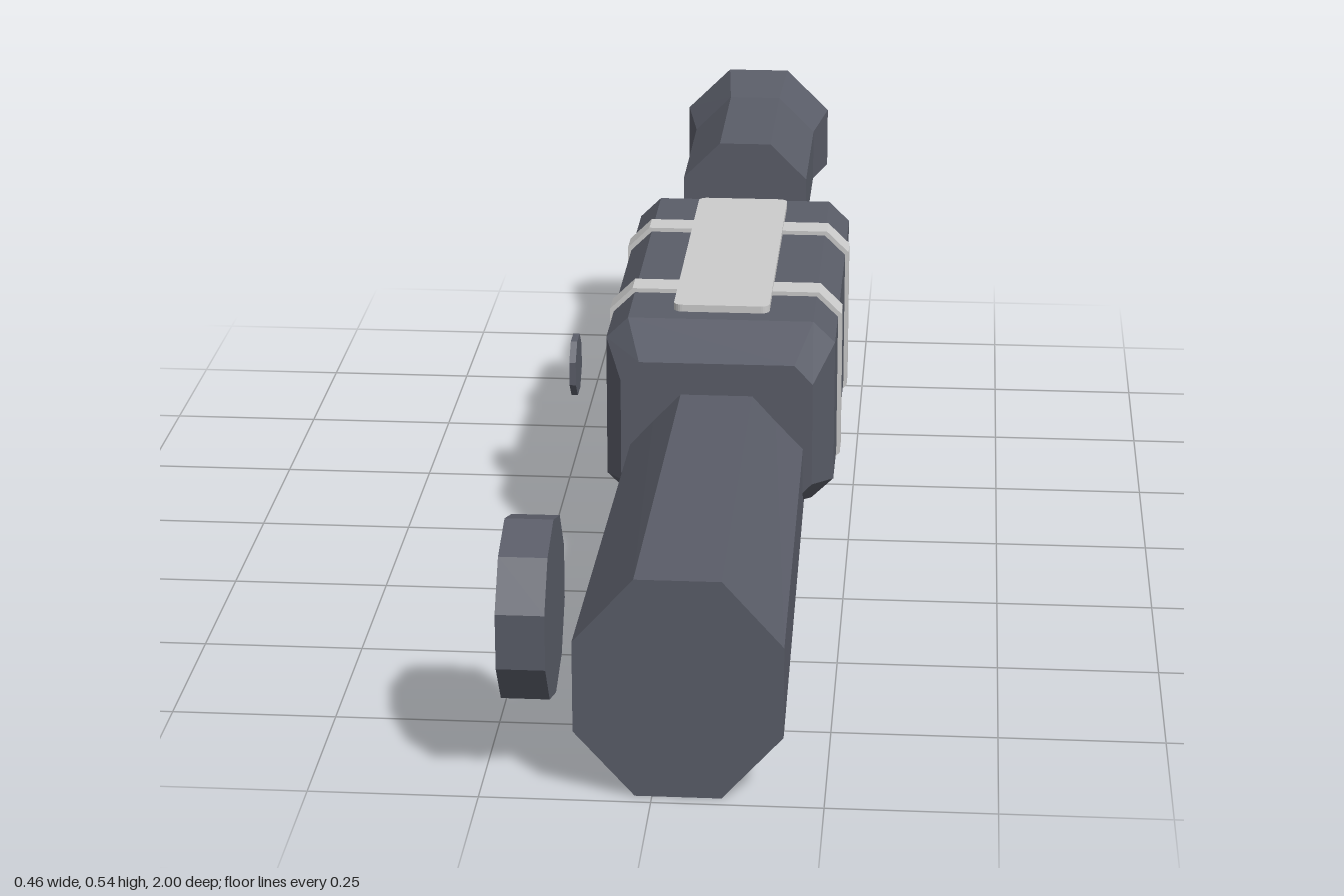
import * as THREE from 'three';

const CX = 0.038; // shared long axis of the body

// Octagonal cross-section, counter-clockwise seen from the front
function octagon(hx, y0, y1, chamferX, chamferY) {
  const x0 = CX - hx, x1 = CX + hx;
  return [
    [x1, y0 + chamferY], [x1, y1 - chamferY], [x1 - chamferX, y1], [x0 + chamferX, y1],
    [x0, y1 - chamferY], [x0, y0 + chamferY], [x0 + chamferX, y0], [x1 - chamferX, y0],
  ];
}

// Regular octagon stretched to the given box
function tube(hx, y0, y1) {
  return octagon(hx, y0, y1, hx * 0.586, (y1 - y0) * 0.293);
}

// Closed solid through sections [z, ring], ordered from front to back
function loft(name, material, sections) {
  const rings = sections.map(([z, ring]) => ring.map(([x, y]) => [x, y, z]));
  const pos = [];
  const tri = (a, b, c) => pos.push(...a, ...b, ...c);
  const n = rings[0].length;
  for (let i = 0; i < rings.length - 1; i++) {
    for (let j = 0; j < n; j++) {
      const k = (j + 1) % n;
      const a = rings[i][j], b = rings[i][k], c = rings[i + 1][k], d = rings[i + 1][j];
      tri(a, d, c);
      tri(a, c, b);
    }
  }
  const front = rings[0], back = rings[rings.length - 1];
  for (let j = 1; j < n - 1; j++) {
    tri(front[0], front[j], front[j + 1]);
    tri(back[0], back[j + 1], back[j]);
  }
  const geometry = new THREE.BufferGeometry();
  geometry.setAttribute('position', new THREE.Float32BufferAttribute(pos, 3));
  geometry.computeVertexNormals();
  const mesh = new THREE.Mesh(geometry, material);
  mesh.name = name;
  return mesh;
}

// Faceted disc with its axis along x
function sideDisc(name, material, radius, sides, x0, x1, y, z) {
  const geometry = new THREE.CylinderGeometry(
    radius, radius, x1 - x0, sides, 1, false, Math.PI / sides).rotateZ(Math.PI / 2).toNonIndexed();
  geometry.computeVertexNormals();
  const mesh = new THREE.Mesh(geometry, material);
  mesh.name = name;
  mesh.position.set((x0 + x1) / 2, y, z);
  return mesh;
}

export function createModel() {
  const dark = new THREE.MeshStandardMaterial({ color: 0x5a5d68, flatShading: true });
  dark.name = 'dark grey metal';
  const light = new THREE.MeshStandardMaterial({ color: 0xcccccc, flatShading: true });
  light.name = 'light grey trim';

  const group = new THREE.Group();
  group.name = 'scopedTube';

  // Long tapering main tube
  group.add(loft('mainTube', dark, [
    [0.98, tube(0.152, 0, 0.34)],
    [-0.42, tube(0.133, 0.025, 0.305)],
    [-0.65, tube(0.115, 0.04, 0.27)],
  ]));

  // Chamfered housing with a tapered nose
  group.add(loft('housing', dark, [
    [0.175, octagon(0.156, 0.137, 0.374, 0.03, 0.032)],
    [0.08, octagon(0.188, 0.108, 0.417, 0.036, 0.035)],
    [-0.575, octagon(0.188, 0.108, 0.417, 0.036, 0.035)],
  ]));

  // Flared eyepiece
  group.add(loft('eyepiece', dark, [
    [-0.575, tube(0.11, 0.303, 0.522)],
    [-0.88, tube(0.11, 0.303, 0.522)],
    [-0.998, tube(0.132, 0.284, 0.543)],
  ]));
  group.add(loft('eyepieceLens', dark, [
    [-0.99, tube(0.1, 0.315, 0.511)],
    [-1, tube(0.1, 0.315, 0.511)],
  ]));

  // Two straps around the housing
  for (const [name, z] of [['frontStrap', -0.073], ['rearStrap', -0.403]]) {
    const ring = octagon(0.194, 0.102, 0.424, 0.038, 0.037);
    group.add(loft(name, light, [[z + 0.025, ring], [z - 0.025, ring]]));
  }

  // Rounded plate on top of the housing
  const x0 = -0.042, x1 = 0.116, z0 = -0.545, z1 = 0.045, r = 0.014;
  const outline = new THREE.Shape();
  outline.absarc(x1 - r, -z0 - r, r, 0, Math.PI / 2);
  outline.absarc(x0 + r, -z0 - r, r, Math.PI / 2, Math.PI);
  outline.absarc(x0 + r, -z1 + r, r, Math.PI, Math.PI * 1.5);
  outline.absarc(x1 - r, -z1 + r, r, Math.PI * 1.5, Math.PI * 2);
  const plate = new THREE.Mesh(
    new THREE.ExtrudeGeometry(outline, { depth: 0.013, bevelEnabled: false, curveSegments: 3 })
      .rotateX(-Math.PI / 2), light);
  plate.name = 'topPlate';
  plate.position.y = 0.416;
  group.add(plate);

  // Dial and small button standing off the right side
  group.add(sideDisc('sideDial', dark, 0.137, 10, -0.221, -0.15, 0.245, 0.868));
  group.add(sideDisc('sideButton', dark, 0.053, 8, -0.233, -0.222, 0.245, -0.16));

  return group;
}
